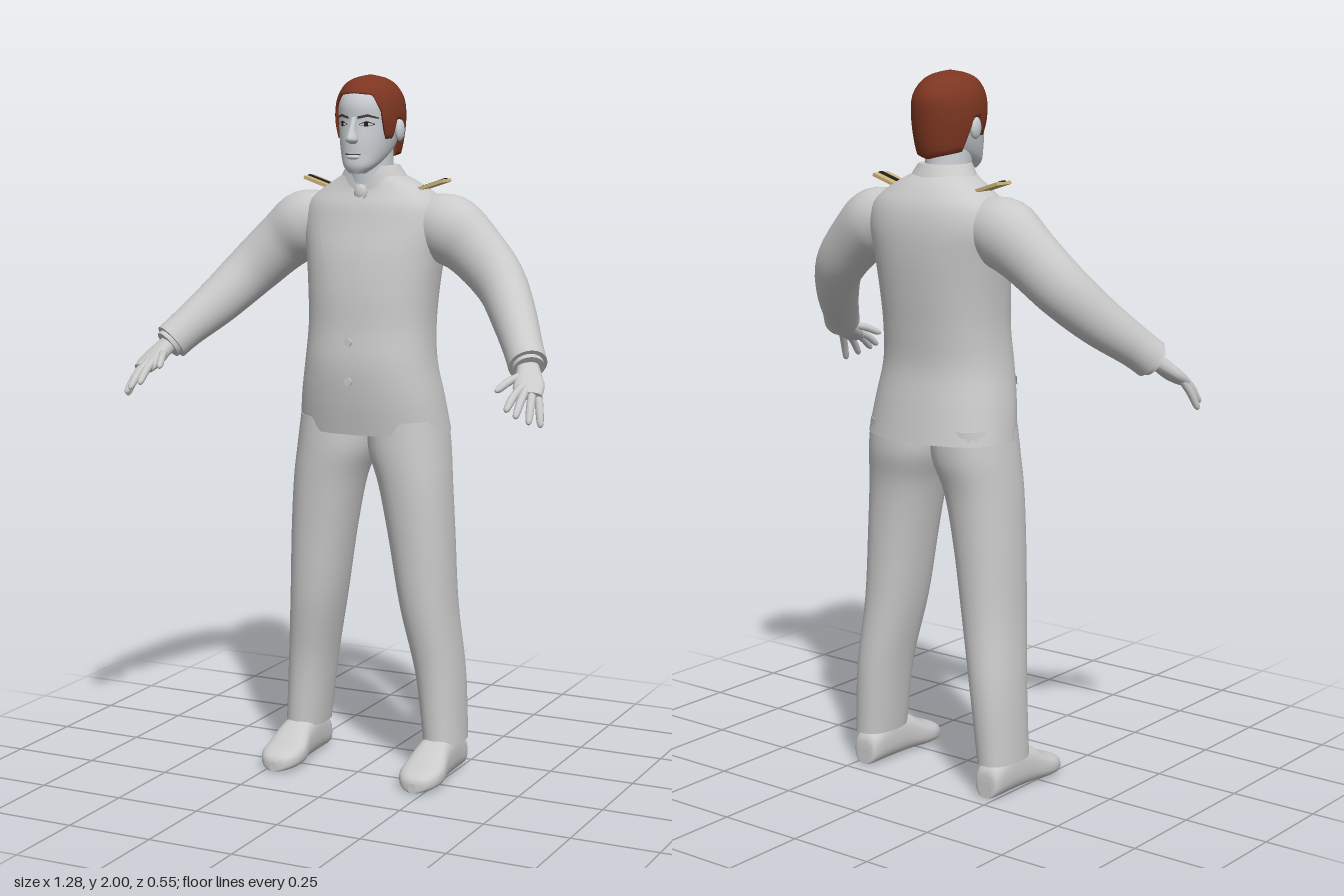
import * as THREE from 'three';

const mat = (name, color) => Object.assign(new THREE.MeshStandardMaterial({ color, side: THREE.DoubleSide }), { name });
const suit = mat('suit', 0xcacaca), skin = mat('skin', 0xccd0d4), hairMat = mat('hair', 0x7d3621);
const gold = mat('gold', 0xcdb378), black = mat('black', 0x1c1c22), brown = mat('brow', 0x4a3a36);

const V = (x, y, z) => new THREE.Vector3(x, y, z);
const lerpRow = (a, b, t) => a.map((v, i) => v + (b[i] - v) * t);

// Catmull-Rom refinement of [x, y, z, radiusA, radiusB] rows
function smooth(rows, sub = 5) {
  const out = [], last = rows.length - 1;
  for (let i = 0; i < last; i++) {
    const [p0, p1, p2, p3] = [rows[Math.max(i - 1, 0)], rows[i], rows[i + 1], rows[Math.min(i + 2, last)]];
    for (let k = 0; k < sub; k++) {
      const t = k / sub;
      out.push(p1.map((v, c) => v + 0.5 * t * (p2[c] - p0[c] + t * (2 * p0[c] - 5 * v + 4 * p2[c] - p3[c] + t * (3 * (v - p2[c]) + p3[c] - p0[c])))));
    }
  }
  return [...out, rows[last]];
}

// Row of a refined loft at height y
function rowAt(rows, y) {
  for (let i = 0; i < rows.length - 1; i++) {
    if (y <= rows[i + 1][1]) return lerpRow(rows[i], rows[i + 1], Math.max(0, (y - rows[i][1]) / (rows[i + 1][1] - rows[i][1])));
  }
  return rows[rows.length - 1];
}

function geometry(pos, idx) {
  const g = new THREE.BufferGeometry();
  g.setAttribute('position', new THREE.Float32BufferAttribute(pos, 3));
  g.setIndex(idx);
  g.computeVertexNormals();
  return g;
}

// Closed skin over oval rings; axis 'y' or 'z' fixes the ring plane, otherwise it follows the path
function loft(rows, axis, power = 2, seg = 32) {
  const pos = [], idx = [], n = rows.length;
  const P = rows.map(r => V(r[0], r[1], r[2]));
  const pw = c => Math.sign(c) * Math.abs(c) ** (2 / power);
  rows.forEach((r, i) => {
    const T = axis === 'y' ? V(0, 1, 0) : axis === 'z' ? V(0, 0, 1)
      : P[Math.min(i + 1, n - 1)].clone().sub(P[Math.max(i - 1, 0)]).normalize();
    const u = T.clone().cross(axis === 'y' ? V(0, 0, 1) : V(0, 1, 0)).normalize(), v = u.clone().cross(T);
    for (let j = 0; j < seg; j++) {
      const a = j / seg * Math.PI * 2;
      pos.push(...P[i].clone().addScaledVector(u, r[3] * pw(Math.cos(a))).addScaledVector(v, r[4] * pw(Math.sin(a))).toArray());
      if (i < n - 1) {
        const k = (j + 1) % seg, A = i * seg + j, B = i * seg + k;
        idx.push(A, A + seg, B, B, A + seg, B + seg);
      }
    }
  });
  // end caps with their own vertices keep the hems sharp
  for (const i of [0, n - 1]) {
    const base = pos.length / 3, ring = pos.slice(i * seg * 3, (i + 1) * seg * 3);
    pos.push(...ring, ...P[i].toArray());
    for (let j = 0; j < seg; j++) {
      const k = (j + 1) % seg;
      idx.push(base + seg, base + (i ? k : j), base + (i ? j : k));
    }
  }
  return geometry(pos, idx);
}

// Thin patch between two [x, y] edge lines, laid on a loft's front (dir 1) or back (dir -1)
function patch(rows, power, edgeA, edgeB, lift, dir = 1, sub = 8, across = 6) {
  const pos = [], idx = [], n = (edgeA.length - 1) * sub;
  for (let i = 0; i <= n; i++) {
    const s = Math.min(Math.floor(i / sub), edgeA.length - 2), t = i / sub - s;
    const a = lerpRow(edgeA[s], edgeA[s + 1], t), b = lerpRow(edgeB[s], edgeB[s + 1], t);
    for (let j = 0; j <= across; j++) {
      const [x, y] = lerpRow(a, b, j / across), r = rowAt(rows, y);
      const z = r[4] * Math.max(0, 1 - Math.abs((x - r[0]) / r[3]) ** power) ** (1 / power);
      pos.push(x, y, r[2] + dir * (z + lift));
      if (i < n && j < across) {
        const k = i * (across + 1) + j, m = k + across + 1;
        idx.push(k, m, k + 1, k + 1, m, m + 1);
      }
    }
  }
  return geometry(pos, idx);
}

// Hair shell: rings from a shaped hairline up to the crown, with a rim turned in to the head
function hairShell(rows) {
  const line = [[0, 1.95], [0.62, 1.945], [0.85, 1.9], [0.95, 1.825], [1.22, 1.825], [1.38, 1.88], [1.66, 1.875], [1.9, 1.785], [3.15, 1.765]];
  const pos = [], idx = [], seg = 96, n = 22;
  for (let i = 0; i <= n; i++) for (let j = 0; j < seg; j++) {
    const a = j / seg * Math.PI * 2, f = Math.min(a, Math.PI * 2 - a);
    const s = line.findIndex((p, q) => q > 0 && f <= p[0]);
    const y0 = lerpRow(line[s - 1], line[s], (f - line[s - 1][0]) / (line[s][0] - line[s - 1][0]))[1];
    const t = Math.max(0, i - 1) / (n - 1), y = y0 + (2 - y0) * (1 - (1 - t) ** 1.6);
    const r = rowAt(rows, y), k = i ? 1 : 0.82;
    pos.push(r[3] * k * Math.sin(a), y, r[2] + r[4] * k * Math.cos(a));
    if (i < n) {
      const A = i * seg + j, B = i * seg + (j + 1) % seg;
      idx.push(A, B, A + seg, B, B + seg, A + seg);
    }
  }
  return geometry(pos, idx);
}

export function createModel() {
  const model = new THREE.Group();
  model.name = 'officer';
  const add = (name, geo, material, x = 0, y = 0, z = 0) => {
    const m = new THREE.Mesh(geo, material);
    m.name = name;
    m.position.set(x, y, z);
    model.add(m);
    return m;
  };

  // Jacket body and collar
  const torso = smooth([[0, 1, -0.117, 0.222, 0.152], [0, 1.1, -0.1, 0.208, 0.152], [0, 1.2, -0.088, 0.19, 0.148],
    [0, 1.3, -0.095, 0.183, 0.146], [0, 1.4, -0.103, 0.188, 0.148], [0, 1.5, -0.114, 0.2, 0.145], [0, 1.58, -0.124, 0.214, 0.134],
    [0, 1.64, -0.125, 0.203, 0.12], [0, 1.68, -0.122, 0.16, 0.1], [0, 1.71, -0.113, 0.11, 0.084], [0, 1.73, -0.1, 0.075, 0.07]]);
  const TP = 2.3;
  add('jacket', loft(torso, 'y', TP, 48), suit);
  add('collar', loft(smooth([[0, 1.685, -0.112, 0.118, 0.09], [0, 1.72, -0.106, 0.094, 0.082], [0, 1.75, -0.1, 0.074, 0.073]]), 'y'), suit);
  add('tie', patch(torso, TP, [[-0.018, 1.7], [-0.012, 1.65], [-0.03, 1.5], [-0.002, 1.32]], [[0.018, 1.7], [0.012, 1.65], [0.03, 1.5], [0.002, 1.32]], 0.007), suit);
  add('tieKnot', new THREE.SphereGeometry(0.02, 16, 12).scale(1, 1.2, 0.6), suit, 0, 1.675, -0.018);
  for (const y of [1.265, 1.155]) {
    add('button', new THREE.CylinderGeometry(0.011, 0.011, 0.008, 16).rotateX(Math.PI / 2), suit, 0, y, 0.064);
  }
  add('frontEdge', patch(torso, TP, [[-0.012, 1.27], [-0.01, 1.12], [-0.035, 1.002]], [[0.03, 1.27], [0.03, 1.12], [0.03, 1.002]], 0.003), suit);
  add('backVent', patch(torso, TP, [[-0.025, 1.16], [-0.03, 1.002]], [[0.002, 1.16], [0.004, 1.002]], 0.007, -1), suit);

  // Head, neck and hair
  const head = smooth([[0, 1.73, 0.002, 0.022, 0.022], [0, 1.75, -0.015, 0.045, 0.048], [0, 1.78, -0.048, 0.062, 0.081], [0, 1.82, -0.07, 0.073, 0.103],
    [0, 1.87, -0.08, 0.08, 0.109], [0, 1.92, -0.08, 0.081, 0.11], [0, 1.96, -0.08, 0.066, 0.09], [0, 1.985, -0.08, 0.035, 0.05]]);
  add('head', loft(head, 'y', 2.1), skin);
  add('neck', loft([[0, 1.66, -0.095, 0.062, 0.07], [0, 1.74, -0.087, 0.06, 0.07], [0, 1.81, -0.085, 0.06, 0.07]], 'y'), skin);
  add('nose', loft(smooth([[0, 1.812, 0.03, 0.008, 0.008], [0, 1.823, 0.038, 0.017, 0.023], [0, 1.85, 0.034, 0.01, 0.016], [0, 1.885, 0.025, 0.008, 0.008]]), 'y', 2, 16), skin);
  add('upperLip', patch(head, 2.1, [[-0.026, 1.785], [0, 1.793], [0.026, 1.785]], [[-0.026, 1.784], [0, 1.784], [0.026, 1.784]], 0.004), skin);
  add('mouthLine', patch(head, 2.1, [[-0.024, 1.785], [0.024, 1.785]], [[-0.024, 1.782], [0.024, 1.782]], 0.0045), brown);
  add('lowerLip', new THREE.SphereGeometry(1, 16, 10).scale(0.02, 0.007, 0.008), skin, 0, 1.776, 0.032);
  add('hair', hairShell(smooth([[0, 1.76, -0.095, 0.07, 0.083], [0, 1.8, -0.09, 0.083, 0.1], [0, 1.87, -0.083, 0.094, 0.117], [0, 1.93, -0.083, 0.089, 0.117],
    [0, 1.97, -0.08, 0.068, 0.093], [0, 1.99, -0.08, 0.04, 0.055], [0, 2, -0.08, 0, 0]])), hairMat);

  for (const s of [1, -1]) {
    const side = s > 0 ? 'left' : 'right';
    const m = rows => rows.map(r => [r[0] * s, ...r.slice(1)]);
    const put = (name, ...rest) => add(side + name, ...rest);
    const onFace = (a, b, lift) => patch(head, 2.1, m(a), m(b), lift);

    // Face details
    put('Brow', onFace([[0.014, 1.887], [0.04, 1.893], [0.062, 1.884]], [[0.014, 1.88], [0.04, 1.886], [0.062, 1.88]], 0.003), brown);
    put('Eye', onFace([[0.018, 1.866], [0.036, 1.875], [0.054, 1.867]], [[0.018, 1.864], [0.036, 1.859], [0.054, 1.864]], 0.002), brown);
    put('EyeWhite', onFace([[0.021, 1.866], [0.036, 1.871], [0.051, 1.867]], [[0.021, 1.864], [0.036, 1.861], [0.051, 1.864]], 0.003), skin);
    put('Pupil', onFace([[0.031, 1.872], [0.041, 1.872]], [[0.031, 1.86], [0.041, 1.86]], 0.004), black);
    put('Ear', new THREE.SphereGeometry(1, 16, 12).scale(0.013, 0.031, 0.02), skin, s * 0.089, 1.848, -0.082);

    // Jacket details
    put('Lapel', patch(torso, TP, m([[0.06, 1.715], [0.04, 1.6], [0.022, 1.45], [0, 1.275]]), m([[0.085, 1.695], [0.125, 1.6], [0.09, 1.49], [0.01, 1.275]]), 0.008), suit);
    put('PocketFlap', patch(torso, TP, m([[0.085, 1.152], [0.17, 1.162]]), m([[0.085, 1.132], [0.17, 1.14]]), 0.006), suit);

    // Sleeve and shirt cuff
    put('Sleeve', loft(smooth(m([[0.13, 1.595, -0.127, 0.07, 0.07], [0.22, 1.575, -0.125, 0.088, 0.098], [0.3, 1.52, -0.122, 0.075, 0.086],
      [0.39, 1.435, -0.095, 0.069, 0.077], [0.46, 1.35, -0.025, 0.062, 0.068], [0.52, 1.278, 0.055, 0.054, 0.057], [0.55, 1.24, 0.095, 0.053, 0.055]])), 'path'), suit);
    put('Cuff', loft(m([[0.53, 1.265, 0.068, 0.042, 0.042], [0.556, 1.232, 0.104, 0.043, 0.043]]), 'path'), suit);

    // Hand with fingers running outward from index to little finger
    put('Palm', loft(smooth(m([[0.54, 1.252, 0.08, 0.026, 0.024], [0.562, 1.223, 0.12, 0.033, 0.022], [0.577, 1.195, 0.155, 0.042, 0.02],
      [0.588, 1.172, 0.188, 0.037, 0.014]])), 'path', 2.4, 20), suit);
    const fingers = [[0.563, 1.185, 0.188, 0.556, 1.14, 0.265], [0.58, 1.18, 0.19, 0.585, 1.125, 0.27],
      [0.597, 1.173, 0.182, 0.613, 1.107, 0.245], [0.61, 1.168, 0.168, 0.632, 1.095, 0.207], [0.55, 1.215, 0.135, 0.512, 1.185, 0.228]];
    fingers.forEach(([x, y, z, X, Y, Z], i) => {
      const at = (t, r, up = 0) => [x + (X - x) * t, y + (Y - y) * t + up, z + (Z - z) * t, r, r];
      put(i < 4 ? 'Finger' : 'Thumb', loft(smooth(m([at(-0.2, 0.011), at(0.45, 0.011, 0.006), at(0.88, 0.009), at(1, 0.003)]), 3), 'path', 2, 12), suit);
    });

    // Shoulder board
    const board = new THREE.Group();
    board.name = side + 'ShoulderBoard';
    board.position.set(s * 0.174, 1.696, -0.121);
    board.rotation.z = s * 0.32;
    const base = new THREE.Mesh(new THREE.BoxGeometry(0.086, 0.009, 0.064), gold);
    base.name = 'board';
    const stripe = new THREE.Mesh(new THREE.BoxGeometry(0.086, 0.004, 0.018), black);
    stripe.name = 'stripe';
    stripe.position.y = 0.005;
    board.add(base, stripe);
    model.add(board);

    // Trouser leg
    put('TrouserLeg', loft(smooth(m([[0.222, 0.1, -0.125, 0.057, 0.09], [0.205, 0.3, -0.125, 0.065, 0.096], [0.176, 0.5, -0.106, 0.077, 0.104],
      [0.155, 0.7, -0.1, 0.09, 0.11], [0.135, 0.85, -0.1, 0.101, 0.118], [0.113, 0.95, -0.108, 0.113, 0.13], [0.106, 1.04, -0.11, 0.108, 0.13]])), 'y', 2.2), suit);

    // Shoe: [z, half width, height]
    const shoe = [[-0.207, 0.022, 0.05], [-0.195, 0.04, 0.09], [-0.12, 0.047, 0.13], [-0.04, 0.053, 0.115], [0.02, 0.063, 0.078],
      [0.065, 0.059, 0.062], [0.098, 0.038, 0.046], [0.108, 0.012, 0.03]];
    put('Shoe', loft(smooth(shoe.map(([z, w, h]) => [s * 0.221, 0.004 + h / 2, z, w, h / 2])), 'z', 2.6), suit);
  }
  return model;
}
